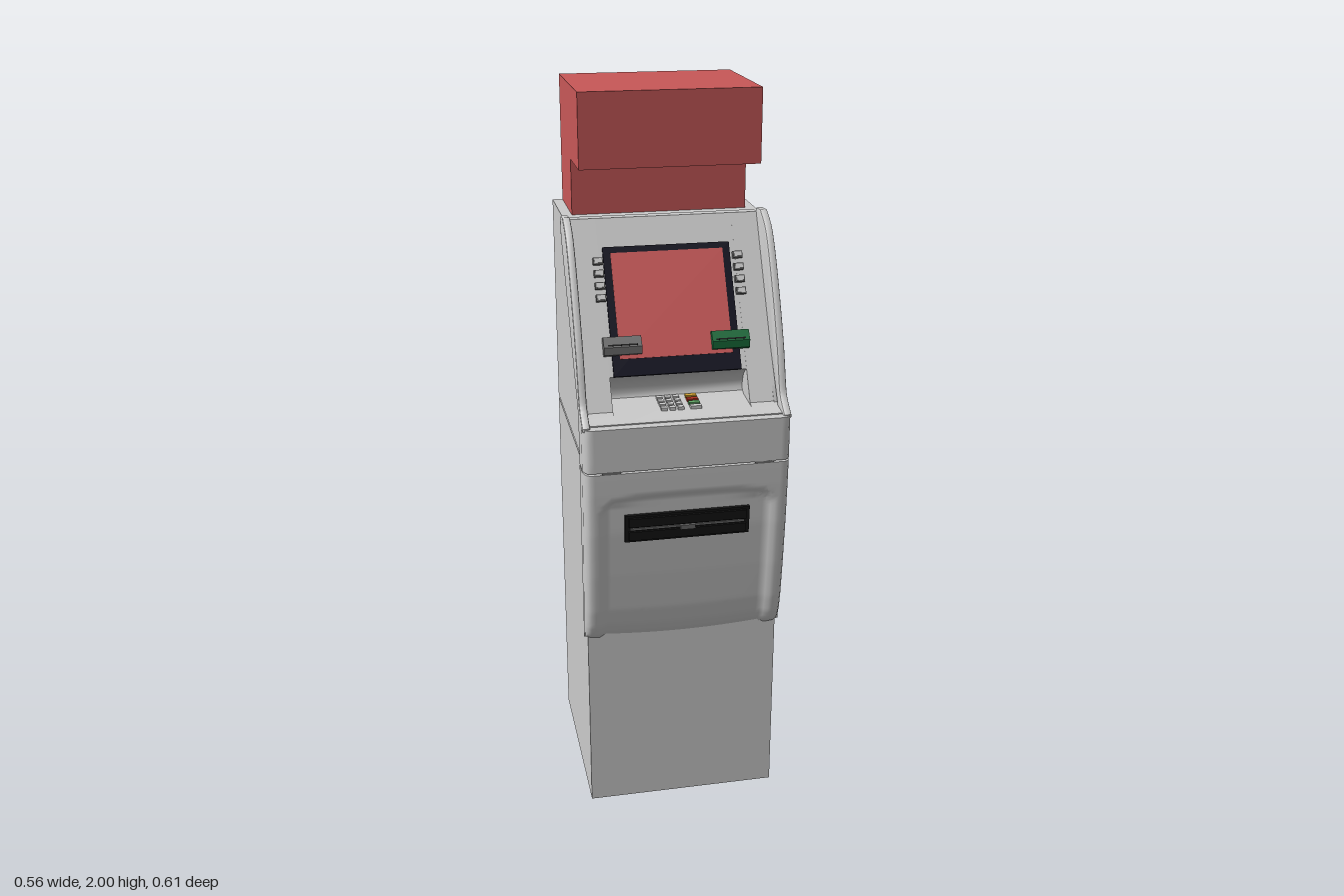
import * as THREE from 'three';
import { toCreasedNormals } from 'three/addons/utils/BufferGeometryUtils.js';

const mat = (color) => new THREE.MeshStandardMaterial({ color });
const grey = mat(0xcccccc), red = mat(0xc85858), navy = mat(0x0a0a1c), black = mat(0x141414);
const green = mat(0x176b3a), darkGrey = mat(0x707070), amber = mat(0xd0a030), keyGreen = mat(0x62a868), keyRed = mat(0xb03020);

function add(parent, name, geometry, material = grey) {
  const mesh = new THREE.Mesh(geometry, material);
  mesh.name = name;
  parent.add(mesh);
  return mesh;
}

function box(parent, name, size, pos, material) {
  const mesh = add(parent, name, new THREE.BoxGeometry(...size), material);
  mesh.position.set(...pos);
  return mesh;
}

// Extrudes a [z, y] side profile along x from x0 to x1
function sideProfile(points, x0, x1, bevel = 0) {
  const shape = new THREE.Shape(points.map(([z, y]) => new THREE.Vector2(z, y)));
  const geo = new THREE.ExtrudeGeometry(shape, {
    depth: x1 - x0 - 2 * bevel, bevelEnabled: bevel > 0, bevelSize: bevel,
    bevelThickness: bevel, bevelOffset: -bevel, bevelSegments: 2,
  });
  geo.rotateY(-Math.PI / 2);
  geo.translate(x1 - bevel, 0, 0);
  return toCreasedNormals(geo, 0.6);
}

// Front line of the fascia: [y, z]
const frontLine = [[0.545, 0.236], [0.56, 0.25], [0.59, 0.262], [0.64, 0.272], [0.75, 0.285],
  [0.88, 0.297], [1.0, 0.304], [1.06, 0.306], [1.19, 0.306]];

function frontZ(y) {
  for (let i = 1; i < frontLine.length; i++) {
    const [y0, z0] = frontLine[i - 1], [y1, z1] = frontLine[i];
    if (y <= y1) return z0 + (z1 - z0) * Math.max(0, (y - y0) / (y1 - y0));
  }
  return 0.306;
}

// Rounded front shell between two heights, with an optional sunken door
function fasciaShell(yLow, yHigh, rows, doorDepth) {
  const W = 0.278, back = 0.226;
  const edge = [[W, null], [W, 0.03], [0.275, 0.015], [0.269, 0.005], [0.26, 0]];
  const cols = edge.map(([x, inset]) => [-x, inset]);
  for (let i = 1; i < 48; i++) cols.push([-0.26 + (0.52 * i) / 48, 0]);
  cols.push(...edge.slice().reverse());

  const pos = [], index = [];
  for (let j = -1; j <= rows + 1; j++) {
    const y = yLow + (yHigh - yLow) * THREE.MathUtils.clamp(j / rows, 0, 1);
    const capRow = j < 0 || j > rows;
    for (const [x, inset] of cols) {
      const dx = Math.max(Math.abs(x) - 0.19, 0);
      const dy = Math.max(y + 0.25 * x * x - 0.95, 0);
      const sunk = doorDepth * THREE.MathUtils.smoothstep(0.048 - Math.hypot(dx, dy), 0, 0.018);
      const z = capRow || inset === null ? back : Math.max(back + 0.003, frontZ(y) - inset - sunk);
      const sag = 0.016 * (1 - (x / W) ** 2) * THREE.MathUtils.clamp((0.75 - y) / 0.2, 0, 1);
      pos.push(x, y - sag, z);
    }
  }
  const n = cols.length;
  for (let j = 0; j < rows + 2; j++) {
    for (let i = 0; i < n - 1; i++) {
      const a = j * n + i;
      index.push(a, a + 1, a + n + 1, a, a + n + 1, a + n);
    }
  }
  const geo = new THREE.BufferGeometry();
  geo.setAttribute('position', new THREE.Float32BufferAttribute(pos, 3));
  geo.setIndex(index);
  return toCreasedNormals(geo, 0.7);
}

export function createModel() {
  const model = new THREE.Group();
  model.name = 'cashMachine';

  // Cabinet: lower safe, shadow gap, upper housing
  box(model, 'lowerCabinet', [0.536, 1.06, 0.538], [0, 0.53, -0.037]);
  box(model, 'cabinetSeam', [0.526, 0.012, 0.526], [0, 1.064, -0.037], darkGrey);
  add(model, 'upperCabinet', sideProfile([[-0.306, 1.068], [0.226, 1.068], [0.226, 1.15], [0.1, 1.15],
    [0.1, 1.28], [-0.06, 1.575], [-0.06, 1.655], [-0.306, 1.655]], -0.25, 0.25));
  const wall = [[-0.306, 1.068], [0.226, 1.068], [0.218, 1.2], [-0.05, 1.615], [-0.055, 1.655], [-0.306, 1.655]];
  add(model, 'rightCabinetWall', sideProfile(wall, -0.268, -0.25));
  add(model, 'leftCabinetWall', sideProfile(wall, 0.25, 0.268));

  // Overhanging sign box
  add(model, 'topSign', sideProfile([[-0.303, 1.655], [-0.1, 1.655], [-0.1, 1.805], [0.06, 1.805],
    [0.06, 2], [-0.303, 2]], -0.24, 0.24), red);

  // Fascia front
  add(model, 'lowerFascia', fasciaShell(0.545, 1.062, 56, 0.013));
  add(model, 'fasciaLip', fasciaShell(1.067, 1.187, 4, 0));
  for (const s of [-1, 1]) box(model, 'hingeSlot', [0.05, 0.008, 0.004], [s * 0.205, 1.065, 0.304], darkGrey);

  // Sweeping side cheeks
  const sweep = new THREE.SplineCurve([[-0.005, 1.67], [0.06, 1.625], [0.13, 1.51], [0.2, 1.36], [0.235, 1.255],
    [0.25, 1.225], [0.272, 1.207], [0.296, 1.19]].map((p) => new THREE.Vector2(...p)));
  const cheek = [[0.222, 1.18], [0.222, 1.2], [-0.05, 1.612], [-0.057, 1.65], [-0.045, 1.667],
    ...sweep.getPoints(28).map((p) => [p.x, p.y]), [0.296, 1.18]];
  add(model, 'rightCheek', sideProfile(cheek, -0.278, -0.257, 0.005));
  add(model, 'leftCheek', sideProfile(cheek, 0.257, 0.278, 0.005));

  // Sloping panel: plain strips at the sides, keypad recess in the middle
  const strip = [[-0.042, 1.656], [0.215, 1.2], [0.235, 1.193], [0.28, 1.19], [0.28, 1.15], [0.1, 1.15],
    [-0.09, 1.6], [-0.07, 1.656]];
  add(model, 'rightPanelStrip', sideProfile(strip, -0.258, -0.185));
  add(model, 'leftPanelStrip', sideProfile(strip, 0.185, 0.258));
  add(model, 'centrePanel', sideProfile([[-0.042, 1.656], [0.169, 1.28], [0.155, 1.272], [0.138, 1.255],
    [0.128, 1.235], [0.125, 1.217], [0.13, 1.206], [0.145, 1.2], [0.28, 1.19], [0.28, 1.15], [0.09, 1.15],
    [0.09, 1.28], [-0.09, 1.6], [-0.07, 1.656]], -0.185, 0.185));

  // Parts mounted on the slope: local y runs up the panel, local z points out
  const slope = new THREE.Group();
  slope.name = 'slopedControls';
  slope.position.set(0, 1.19, 0.22);
  slope.rotation.x = -0.513;
  model.add(slope);
  const up = (y) => (y - 1.19) / 0.871;
  box(slope, 'screenBezel', [0.345, up(1.585) - up(1.28), 0.012], [-0.002, up(1.4325), 0], navy);
  box(slope, 'screen', [0.305, up(1.57) - up(1.32), 0.004], [-0.002, up(1.445), 0.006], red);
  const bezelBar = [[0, -0.024], [0.016, -0.024], [0.026, -0.006], [0.02, 0.024], [0, 0.024]];
  for (const s of [-1, 1]) {
    const slot = add(slope, s < 0 ? 'cardSlot' : 'receiptSlot',
      sideProfile(bezelBar, -0.051, 0.051), s < 0 ? darkGrey : green);
    slot.position.set(s * 0.146, up(1.35), 0);
    box(slope, 'slotOpening', [0.08, 0.004, 0.003], [s * 0.146, up(1.35), 0.0245], black);
    for (let i = 0; i < 4; i++) {
      box(slope, 'functionKey', [0.026, 0.018, 0.02], [s * 0.19, up(1.465 + i * 0.029), 0.003], darkGrey);
      box(slope, 'functionKeyCap', [0.02, 0.012, 0.004], [s * 0.19, up(1.465 + i * 0.029), 0.014]);
    }
  }

  // Keypad on the shelf
  const rowColors = [amber, keyRed, keyGreen, grey];
  for (let r = 0; r < 4; r++) {
    const z = 0.1425 + r * 0.0225, y = 1.2 - (z - 0.145) * 0.074 + 0.003;
    for (let c = 0; c < 3; c++) {
      box(model, 'numberKey', [0.016, 0.01, 0.016], [-0.048 + c * 0.0225, y, z]);
    }
    box(model, 'commandKey', [0.03, 0.01, 0.016], [0.038, y, z], rowColors[r]);
  }

  // Cash dispenser in the sunken door
  const cash = new THREE.Group();
  cash.name = 'cashDispenser';
  cash.position.set(0, 0.895, 0.286);
  cash.rotation.x = 0.08;
  model.add(cash);
  box(cash, 'dispenserPlate', [0.34, 0.08, 0.014], [0, 0, 0], black);
  for (const s of [-1, 1]) box(cash, 'dispenserJaw', [0.32, 0.026, 0.012], [0, s * 0.02, 0.007], black);
  box(cash, 'dispenserShutter', [0.31, 0.005, 0.004], [0, 0, 0.008], darkGrey);
  box(cash, 'shutterNotch', [0.04, 0.012, 0.004], [0, -0.003, 0.0125], darkGrey);

  return model;
}
